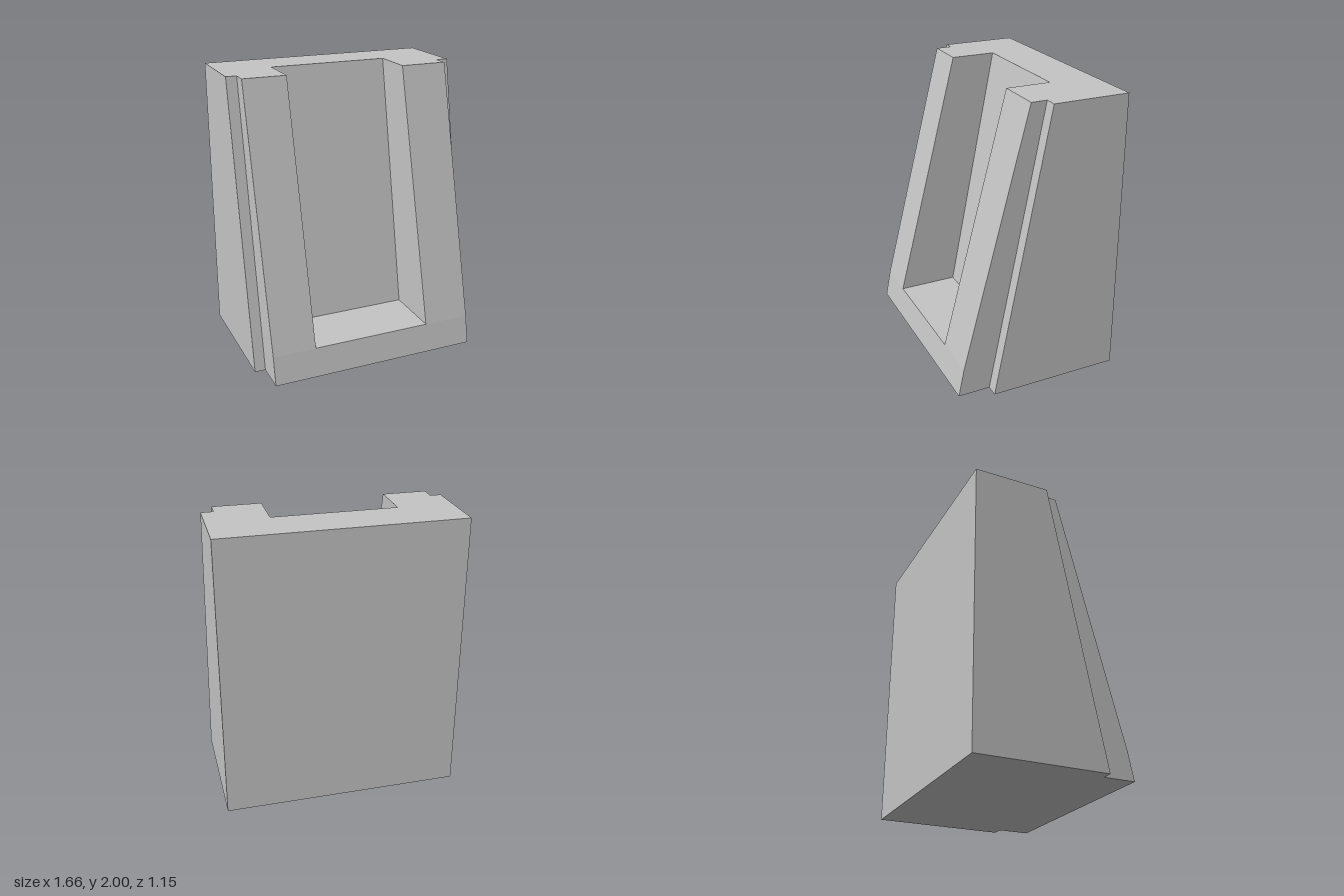
import * as THREE from 'three';

export function createModel() {
  const group = new THREE.Group();
  group.name = 'slopedBlock';
  const grey = new THREE.MeshStandardMaterial({ color: 0xc4c4c4 });
  grey.name = 'light grey';

  const back = -0.575;

  // Extrude a side profile of [z, y] points across x from x0 to x1
  function slab(name, x0, x1, profile) {
    const shape = new THREE.Shape(profile.map(([z, y]) => new THREE.Vector2(z, y)));
    const geometry = new THREE.ExtrudeGeometry(shape, { depth: x1 - x0, bevelEnabled: false });
    geometry.rotateY(-Math.PI / 2);
    geometry.translate(x1, 0, 0);
    const mesh = new THREE.Mesh(geometry, grey);
    mesh.name = name;
    group.add(mesh);
  }

  // Set-back strips along both outer sides
  const side = [[back, 0], [0.348, 0], [-0.04, 2], [back, 2]];
  slab('rightSideStep', -0.83, -0.755, side);
  slab('leftSideStep', 0.745, 0.83, side);

  // Full-depth pillars, with a slightly steeper foot
  const pillar = [[back, 0], [0.575, 0], [0.535, 0.2], [0.07, 2], [back, 2]];
  slab('rightPillar', -0.755, -0.447, pillar);
  slab('leftPillar', 0.41, 0.745, pillar);

  // Centre with the open-topped recess: sill, flat ledge and sloping back wall
  const centre = [[back, 0], [0.575, 0], [0.535, 0.2], [0.108, 0.2], [-0.245, 2], [back, 2]];
  slab('recessedCentre', -0.447, 0.41, centre);

  return group;
}
